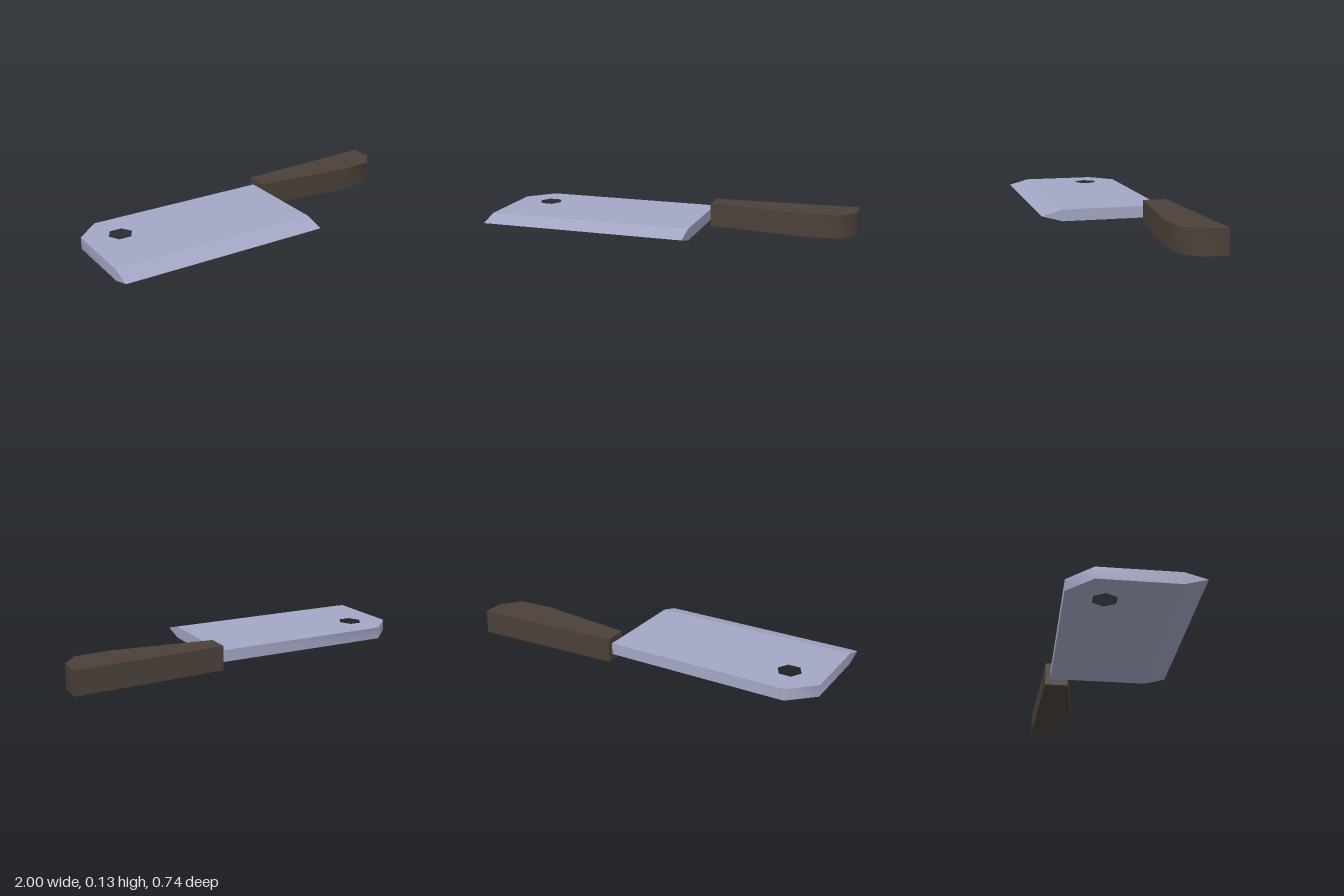
import * as THREE from 'three';
import { toCreasedNormals } from 'three/addons/utils/BufferGeometryUtils.js';

// Outline points are [x, z]; shapes are drawn with y = -z and laid flat.
const toPoints = (pts) => pts.map(([x, z]) => new THREE.Vector2(x, -z));

function slab(name, outline, bottom, top, material, hole) {
  const shape = new THREE.Shape(toPoints(outline));
  if (hole) shape.holes.push(new THREE.Path(toPoints(hole)));
  const geometry = new THREE.ExtrudeGeometry(shape, { depth: top - bottom, bevelEnabled: false });
  geometry.rotateX(-Math.PI / 2).translate(0, bottom, 0);
  const mesh = new THREE.Mesh(toCreasedNormals(geometry, 1.1), material);
  mesh.name = name;
  return mesh;
}

export function createModel() {
  const steel = new THREE.MeshStandardMaterial({ color: 0xa3a7c5 });
  steel.name = 'steel';
  const wood = new THREE.MeshStandardMaterial({ color: 0x4b4039 });
  wood.name = 'dark wood';

  const model = new THREE.Group();
  model.name = 'cleaver';
  const left = -1, right = 0.163, bevelZ = 0.255, bottom = 0.035, top = 0.1;

  // Blade plate with clipped corner and six-sided hanging hole
  const hole = [];
  for (let i = 0; i < 6; i++) {
    const a = (i * Math.PI) / 3;
    hole.push([-0.805 + 0.067 * Math.cos(a), -0.1 + 0.069 * Math.sin(a)]);
  }
  model.add(slab('blade', [
    [left, -0.17], [-0.867, -0.3], [right, -0.3], [right, bevelZ], [left, bevelZ],
  ], bottom, top, steel, hole));

  // Cutting edge: a wedge running the length of the blade
  const wedge = new THREE.Shape([
    new THREE.Vector2(-bevelZ, bottom),
    new THREE.Vector2(-bevelZ, top),
    new THREE.Vector2(-0.37, (bottom + top) / 2),
  ]);
  const edgeGeometry = new THREE.ExtrudeGeometry(wedge, { depth: right - left, bevelEnabled: false });
  edgeGeometry.rotateY(Math.PI / 2).translate(left, 0, 0);
  const edge = new THREE.Mesh(edgeGeometry, steel);
  edge.name = 'cuttingEdge';
  model.add(edge);

  // Handle, widening to a clipped butt
  model.add(slab('handle', [
    [right, -0.33], [1, -0.372], [1, -0.245], [0.918, -0.148], [0.715, -0.134], [right, -0.2],
  ], 0, 0.134, wood));

  return model;
}
